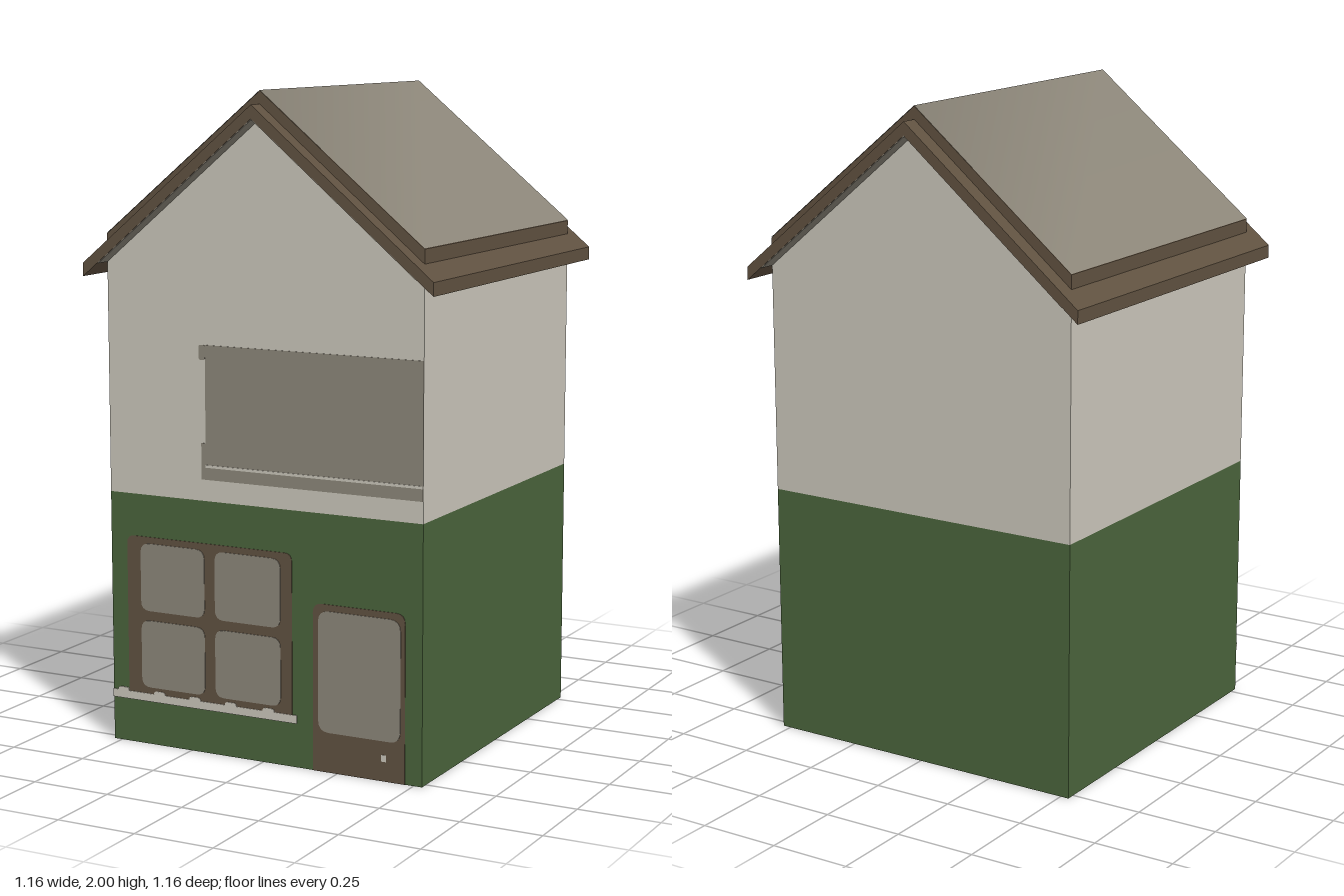
import * as THREE from 'three';

const mat = (name, color, side = THREE.FrontSide) => {
  const m = new THREE.MeshStandardMaterial({ color, side });
  m.name = name;
  return m;
};

const HALF = 0.527; // half width and depth of the walls
const SPLIT = 0.78; // height of the painted ground floor

export function createModel() {
  const green = mat('green paint', 0x4a643b);
  const cream = mat('cream plaster', 0xcac6ba);
  const brown = mat('brown wood', 0x605140);
  const taupe = mat('taupe glass and roofing', 0x8c8679, THREE.DoubleSide);

  const house = new THREE.Group();
  house.name = 'house';

  const add = (name, geometry, material, parent = house) => {
    const mesh = new THREE.Mesh(geometry, material);
    mesh.name = name;
    parent.add(mesh);
    return mesh;
  };

  // Extrude a front outline, centred on z = 0
  const prism = (points, depth) => {
    const shape = new THREE.Shape(points.map(([x, y]) => new THREE.Vector2(x, y)));
    const g = new THREE.ExtrudeGeometry(shape, { depth, bevelEnabled: false });
    return g.translate(0, 0, -depth / 2);
  };

  // Ground floor: green walls, plain underside
  const ground = new THREE.BoxGeometry(HALF * 2, SPLIT, HALF * 2);
  ground.translate(0, SPLIT / 2, 0);
  add('groundFloor', ground, [green, green, green, cream, green, green]);

  // Upper floor with gables
  add('upperFloor', prism([
    [-HALF, SPLIT], [HALF, SPLIT], [HALF, 1.485], [0, 1.922], [-HALF, 1.485],
  ], HALF * 2), cream);

  // Roof: two stacked chevron slabs
  const roof = new THREE.Group();
  roof.name = 'roof';
  house.add(roof);
  const chevron = (half, apex, eave, drop, depth) => prism([
    [-half, eave - drop], [0, apex - drop], [half, eave - drop],
    [half, eave], [0, apex], [-half, eave],
  ], depth);
  add('roofFrame', chevron(0.58, 1.96, 1.48, 0.04, 1.16), brown, roof);
  add('roofEdge', chevron(HALF, 1.998, 1.566, 0.044, HALF * 2), brown, roof);

  // Roof covering, shaded smoothly over the ridge
  const cover = new THREE.BufferGeometry();
  const rows = [[-HALF, 1.568], [0, 2], [HALF, 1.568]];
  cover.setAttribute('position', new THREE.Float32BufferAttribute(
    rows.flatMap(([x, y]) => [x, y, HALF, x, y, -HALF]), 3));
  const faces = [];
  for (let i = 0; i < 4; i += 2) faces.push(i, i + 2, i + 1, i + 1, i + 2, i + 3);
  cover.setIndex(faces);
  cover.computeVertexNormals();
  add('roofCovering', cover, taupe, roof);

  // Lining under the gable overhangs
  for (const s of [1, -1]) {
    const lining = chevron(HALF, 1.92, 1.484, 0.003, 0.05);
    lining.translate(0, 0, s * (HALF + 0.026));
    add(s > 0 ? 'frontSoffit' : 'backSoffit', lining, taupe, roof);
  }

  // Thin plate on the front wall, with radius r on the upper and rb on the lower corners
  const plate = (name, x0, x1, y0, y1, material, layer = 1, r = 0, rb = r) => {
    const s = new THREE.Shape();
    s.moveTo(x0 + rb, y0);
    s.lineTo(x1 - rb, y0);
    if (rb) s.quadraticCurveTo(x1, y0, x1, y0 + rb);
    s.lineTo(x1, y1 - r);
    if (r) s.quadraticCurveTo(x1, y1, x1 - r, y1);
    s.lineTo(x0 + r, y1);
    if (r) s.quadraticCurveTo(x0, y1, x0, y1 - r);
    s.lineTo(x0, y0 + rb);
    if (rb) s.quadraticCurveTo(x0, y0, x0 + rb, y0);
    const g = new THREE.ExtrudeGeometry(s, { depth: layer * 0.002, bevelEnabled: false, curveSegments: 4 });
    return add(name, g.translate(0, 0, HALF), material);
  };

  // Four-pane window and sill
  plate('windowFrame', -0.47, 0.1, 0.16, 0.65, brown, 1, 0.025, 0);
  for (const x of [-0.422, -0.162]) {
    for (const y of [0.18, 0.42]) {
      plate('windowPane', x, x + 0.224, y, y + 0.21, taupe, 2, 0.03);
    }
  }
  plate('windowSill', -HALF, 0.115, 0.135, 0.16, cream, 2);
  for (const x of [-0.49, -0.36, -0.235, -0.11, 0.02]) {
    plate('sillTuft', x - 0.02, x + 0.02, 0.158, 0.17, cream, 2, 0.01, 0);
  }

  // Door with glazing and knob
  plate('door', 0.17, 0.472, 0, 0.51, brown, 1, 0.03, 0);
  plate('doorGlass', 0.188, 0.458, 0.122, 0.49, taupe, 2, 0.035);
  plate('doorKnob', 0.396, 0.412, 0.06, 0.08, cream, 2);

  // Wide upper window, running to the corner
  plate('upperWindow', -0.19, HALF, 0.845, 1.25, taupe);
  plate('upperWindowTop', -0.212, -0.19, 1.205, 1.25, taupe, 1, 0.008);
  plate('upperWindowFoot', -0.205, -0.19, 0.845, 0.955, taupe);
  plate('upperWindowLine', -0.19, HALF, 0.882, 0.89, cream, 2);

  return house;
}
